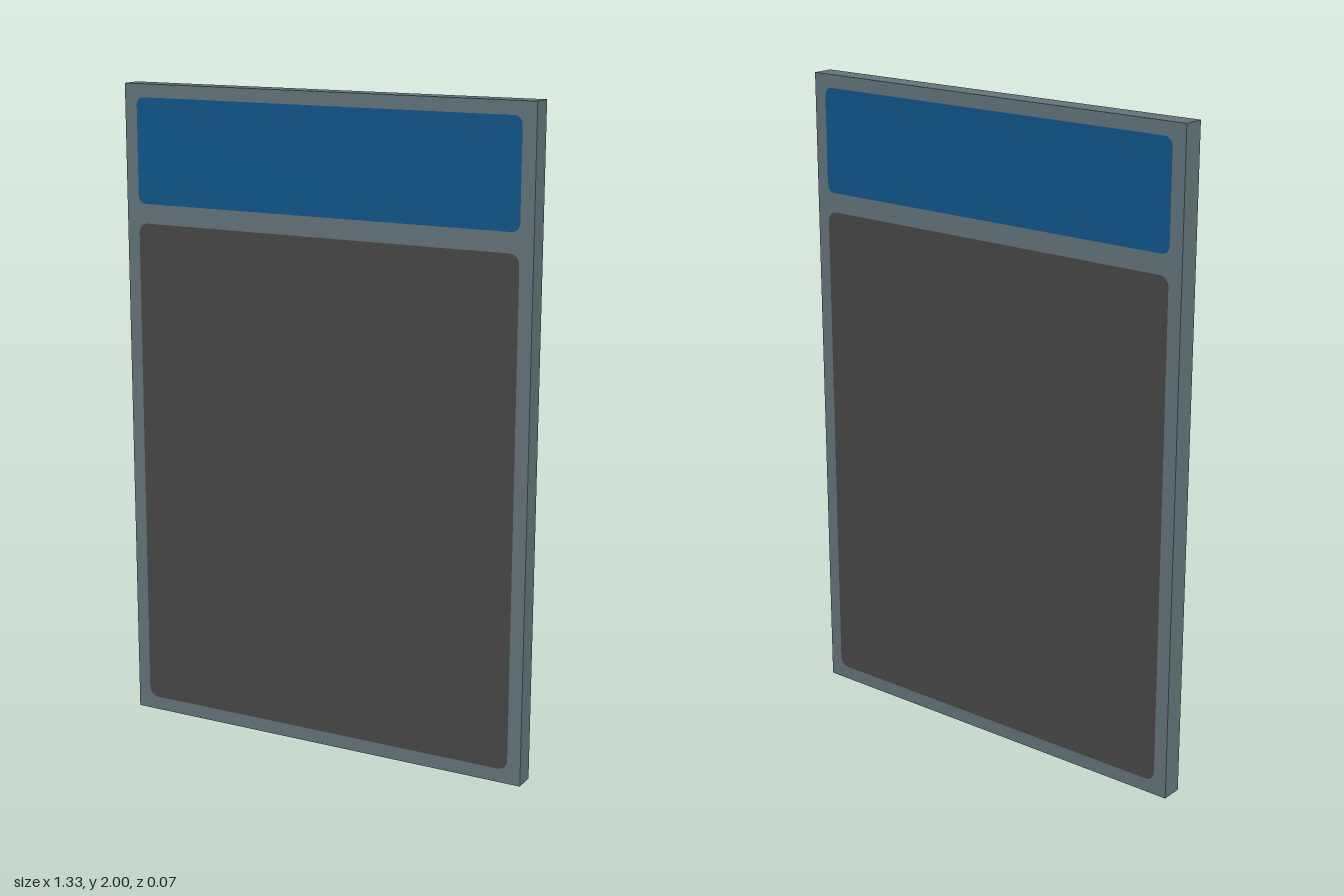
import * as THREE from 'three';

// Rectangle with softly rounded corners, centred on x
function roundedPanel(halfWidth, bottom, top, r) {
  const s = new THREE.Shape();
  s.moveTo(-halfWidth + r, bottom);
  s.lineTo(halfWidth - r, bottom);
  s.absarc(halfWidth - r, bottom + r, r, -Math.PI / 2, 0);
  s.lineTo(halfWidth, top - r);
  s.absarc(halfWidth - r, top - r, r, 0, Math.PI / 2);
  s.lineTo(-halfWidth + r, top);
  s.absarc(-halfWidth + r, top - r, r, Math.PI / 2, Math.PI);
  s.lineTo(-halfWidth, bottom + r);
  s.absarc(-halfWidth + r, bottom + r, r, Math.PI, Math.PI * 1.5);
  return new THREE.ShapeGeometry(s, 4);
}

export function createModel() {
  const model = new THREE.Group();
  model.name = 'signBoard';

  const material = (name, color) => {
    const m = new THREE.MeshStandardMaterial({ color });
    m.name = name;
    return m;
  };
  const frameGrey = material('frameGrey', 0x637379);
  const headerBlue = material('headerBlue', 0x10568a);
  const panelCharcoal = material('panelCharcoal', 0x474747);

  // Slab that forms the frame
  const depth = 0.067;
  const frame = new THREE.Mesh(new THREE.BoxGeometry(1.333, 2, depth), frameGrey);
  frame.name = 'frame';
  frame.position.y = 1;
  model.add(frame);

  // Header and main panel, repeated on both faces
  const panels = [
    ['header', roundedPanel(0.625, 1.64, 1.96, 0.025), headerBlue],
    ['mainPanel', roundedPanel(0.625, 0.043, 1.58, 0.03), panelCharcoal],
  ];
  for (const [name, geometry, mat] of panels) {
    for (const side of ['Front', 'Back']) {
      const panel = new THREE.Mesh(geometry, mat);
      panel.name = name + side;
      panel.position.z = (side === 'Front' ? 1 : -1) * (depth / 2 + 0.0015);
      if (side === 'Back') panel.rotation.y = Math.PI;
      model.add(panel);
    }
  }
  return model;
}
